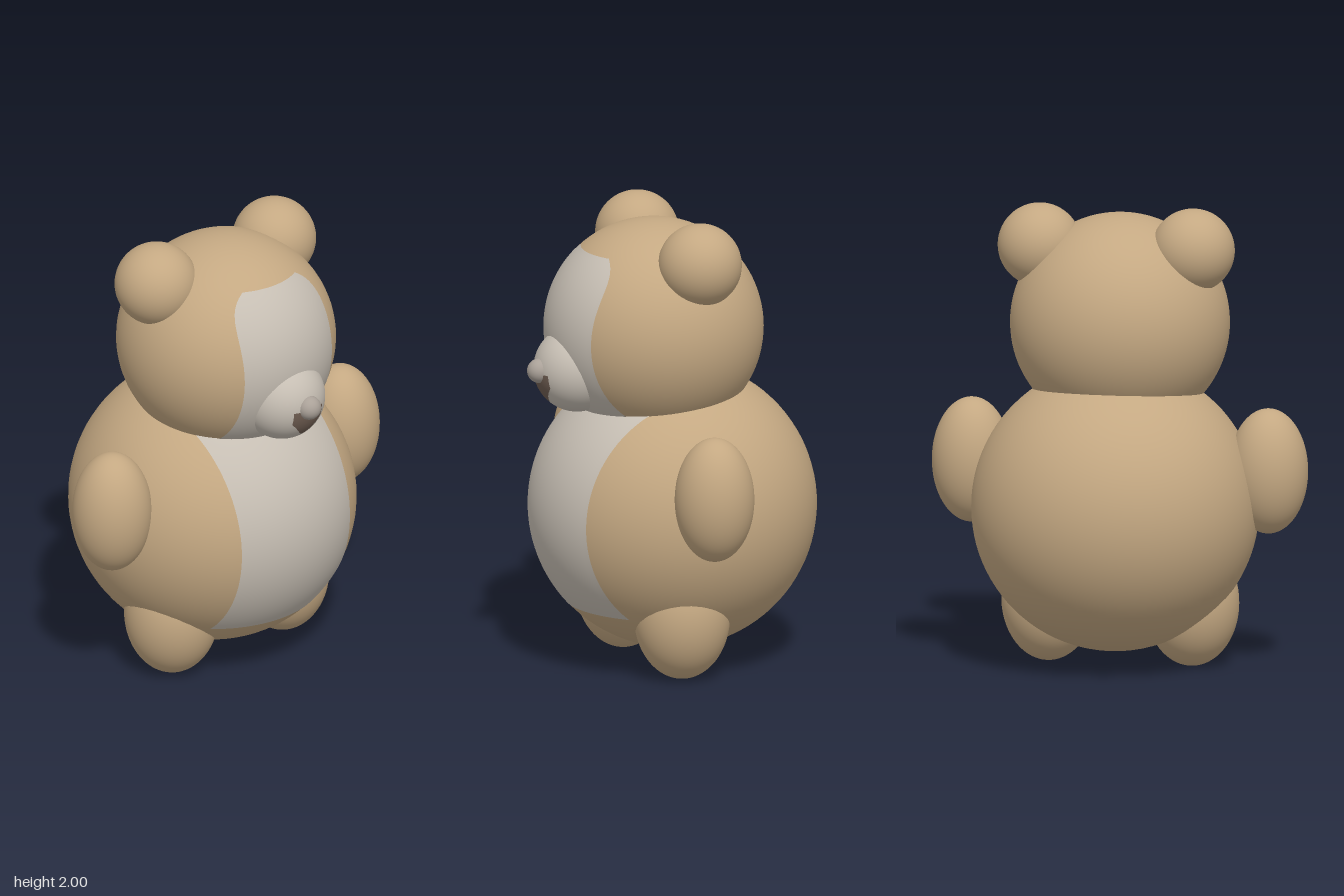
import * as THREE from 'three';

const material = (color) => new THREE.MeshStandardMaterial({ color });

export function createModel() {
  const bear = new THREE.Group();
  bear.name = 'teddyBear';

  const fur = material(0xc4a882);
  const pale = material(0xc6beb3);
  const noseGrey = material(0xaaa198);
  const dark = material(0x705e52);

  // Smooth ellipsoid: centre and radii along x, y, z
  function ball(name, mat, [x, y, z], [rx, ry, rz]) {
    const mesh = new THREE.Mesh(new THREE.SphereGeometry(1, 64, 48), mat);
    mesh.name = name;
    mesh.position.set(x, y, z);
    mesh.scale.set(rx, ry, rz);
    bear.add(mesh);
  }

  // Colour patch lying on the front of a ball, from y0 to y1.
  // halfWidth(t) gives its half width, with t running 0..1 upwards.
  function patch(name, mat, [cx, cy, cz], r, y0, y1, halfWidth) {
    const geo = new THREE.PlaneGeometry(2, 1, 24, 40);
    const p = geo.attributes.position;
    const R = r * 1.003;
    for (let i = 0; i < p.count; i++) {
      const t = p.getY(i) + 0.5;
      const x = p.getX(i) * halfWidth(t);
      const y = y0 + (y1 - y0) * t - cy;
      p.setXYZ(i, x, y, Math.sqrt(Math.max(0, R * R - x * x - y * y)));
    }
    geo.computeVertexNormals();
    const mesh = new THREE.Mesh(geo, mat);
    mesh.name = name;
    mesh.position.set(cx, cy, cz);
    bear.add(mesh);
  }

  // Body and head with their pale fronts
  const bodyAt = [0, 0.695, -0.025];
  const headAt = [0, 1.485, 0.063];
  const muzzleAt = [0, 1.333, 0.422];
  ball('body', fur, bodyAt, [0.618, 0.62, 0.62]);
  ball('head', fur, headAt, [0.472, 0.472, 0.472]);
  patch('belly', pale, bodyAt, 0.62, 0.28, 1.2, (t) => 0.31 + 0.02 * (t - 0.5) ** 2);
  patch('face', pale, headAt, 0.472, 1.15, 1.84, (t) => 0.25 - 0.1 * t ** 12);

  // Muzzle, mouth and nose
  ball('muzzle', pale, muzzleAt, [0.187, 0.187, 0.187]);
  patch('mouth', dark, muzzleAt, 0.187, 1.2, 1.33, (t) => 0.08 * Math.min(1, 0.15 + 1.5 * t));
  ball('nose', noseGrey, [0, 1.338, 0.598], [0.053, 0.053, 0.053]);

  // Paired ears, arms and legs
  for (const [side, s] of [['left', 1], ['right', -1]]) {
    ball(side + 'Ear', fur, [s * 0.338, 1.82, -0.006], [0.18, 0.18, 0.18]);
    ball(side + 'Arm', fur, [s * 0.654, 0.862, 0.063], [0.171, 0.271, 0.171]);
    ball(side + 'Leg', fur, [s * 0.316, 0.275, 0.068], [0.203, 0.273, 0.207]);
  }

  return bear;
}
